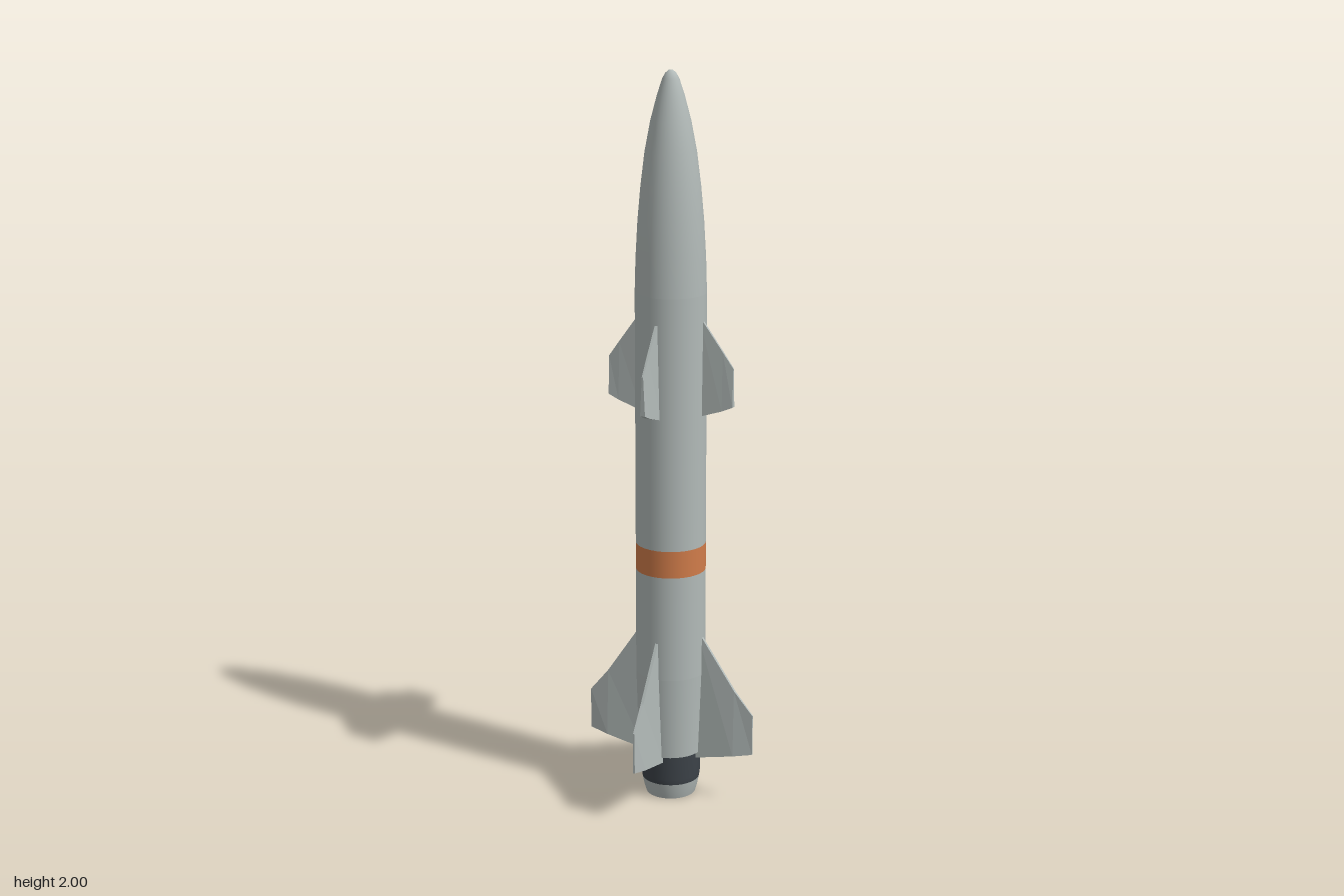
import * as THREE from 'three';

const mat = (name, color) => {
  const m = new THREE.MeshStandardMaterial({ color });
  m.name = name;
  return m;
};

// Fin swept through stations [radius, topY, topHalfThickness, bottomY, bottomHalfThickness]
function finGeometry(stations) {
  const rings = stations.map(([r, yt, tt, yb, tb]) => [
    [r, yt, tt], [r, yb, tb], [r, yb, -tb], [r, yt, -tt],
  ]);
  const pos = [];
  const quad = (a, b, c, d) => pos.push(...a, ...b, ...c, ...a, ...c, ...d);
  for (let s = 0; s < rings.length - 1; s++) {
    for (let i = 0; i < 4; i++) {
      const j = (i + 1) % 4;
      quad(rings[s][i], rings[s][j], rings[s + 1][j], rings[s + 1][i]);
    }
  }
  quad(...rings[rings.length - 1]);
  const g = new THREE.BufferGeometry();
  g.setAttribute('position', new THREE.Float32BufferAttribute(pos, 3));
  g.computeVertexNormals();
  return g;
}

export function createModel() {
  const model = new THREE.Group();
  model.name = 'missile';
  const grey = mat('body grey', 0xb2bab8);
  const orange = mat('band orange', 0xd07c4a);
  const dark = mat('dark grey', 0x3c4248);

  const add = (name, geometry, material) => {
    const mesh = new THREE.Mesh(geometry, material);
    mesh.name = name;
    model.add(mesh);
    return mesh;
  };
  const lathe = (name, profile, material) =>
    add(name, new THREE.LatheGeometry(profile.map(([r, y]) => new THREE.Vector2(r, y)), 32), material);

  const R = 0.095;

  // Exhaust: recessed dark throat, lip and tapered outer shell
  lathe('exhaustThroat', [[0, 0.06], [0.04, 0.06], [0.052, 0.003]], dark);
  lathe('exhaustLip', [[0.052, 0.003], [0.056, 0], [0.068, 0]], grey);
  lathe('exhaustNozzle', [[0.068, 0], [0.074, 0.02], [0.079, 0.045]], grey);
  lathe('engineCollar', [[0.079, 0.045], [0.081, 0.06], [0.081, 0.13]], dark);

  // Fuselage: tail underside, tapered tail, straight tube and painted band
  lathe('tailUnderside', [[0.079, 0.13], [0.088, 0.13]], grey);
  lathe('tailSection', [[0.088, 0.13], [0.0915, 0.24], [R, 0.36]], grey);
  lathe('lowerFuselage', [[R, 0.36], [R, 0.655]], grey);
  lathe('paintedBand', [[R, 0.655], [R, 0.73]], orange);
  lathe('upperFuselage', [[R, 0.73], [R, 1.42]], grey);

  // Ogive nose with a small rounded tip
  lathe('noseCone', [
    [R, 1.42], [0.0925, 1.51], [0.087, 1.61], [0.079, 1.7], [0.068, 1.79],
    [0.053, 1.87], [0.036, 1.935], [0.022, 1.978], [0.014, 1.992], [0.006, 1.999], [0, 2],
  ], grey);

  // Two sets of four diagonal wedge fins: thin leading edge, blunt trailing edge
  const canard = finGeometry([
    [0.082, 1.365, 0.004, 1.09, 0.01],
    [0.15, 1.272, 0.003, 1.112, 0.008],
    [0.18, 1.23, 0.002, 1.125, 0.007],
  ]);
  const tailFin = finGeometry([
    [0.078, 0.49, 0.004, 0.112, 0.012],
    [0.19, 0.325, 0.004, 0.135, 0.011],
    [0.244, 0.26, 0.002, 0.146, 0.003],
  ]);
  for (let i = 0; i < 4; i++) {
    const angle = Math.PI / 4 + (i * Math.PI) / 2;
    add('forwardFin', canard, grey).rotation.y = angle;
    add('tailFin', tailFin, grey).rotation.y = angle;
  }
  return model;
}
